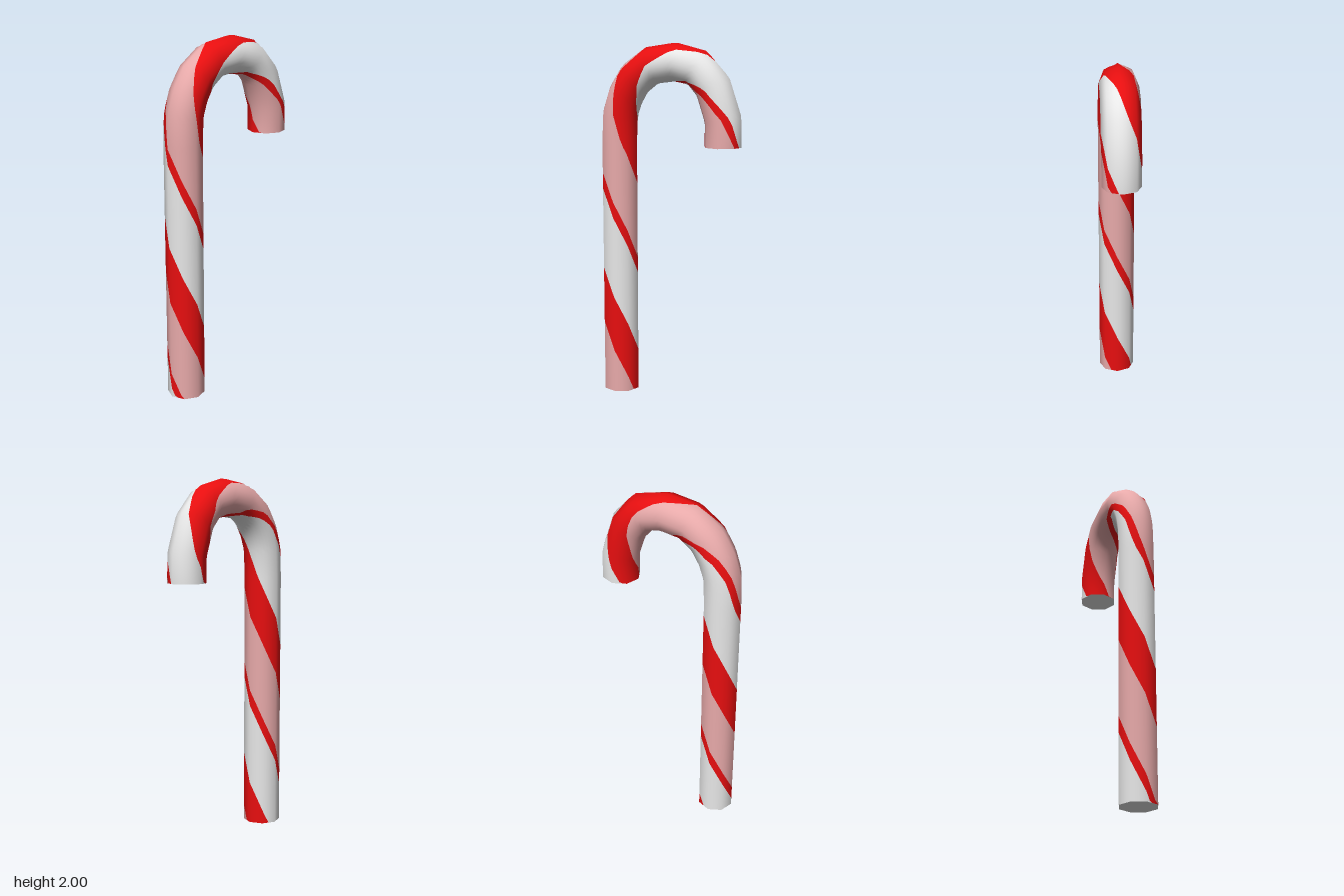
import * as THREE from 'three';

const RADIUS = 0.105, SIDES = 8, PITCH = 1.3, COLS = 32;

// Centre line of the cane: x, y and the distance used by the spiral
const PATH = [
  [-0.305, 0, 0], [-0.305, 1.45, 1.45], [-0.298, 1.61, 1.55], [-0.265, 1.71, 1.636],
  [-0.21, 1.8, 1.74], [-0.11, 1.875, 1.866], [0.03, 1.895, 2.006], [0.155, 1.865, 2.136],
  [0.245, 1.765, 2.27], [0.303, 1.59, 2.455], [0.305, 1.44, 2.605],
];
const END = PATH[PATH.length - 1][2];

// One octagonal ring per path point, turned along the path
const rings = PATH.map(([x, y, v], i) => {
  const a = PATH[Math.max(i - 1, 0)], b = PATH[Math.min(i + 1, PATH.length - 1)];
  const t = new THREE.Vector2(b[0] - a[0], b[1] - a[1]).normalize();
  if (i === PATH.length - 1) t.set(0, -1);
  if (i === 1) t.set(0, 1);
  return { v, centre: new THREE.Vector3(x, y, 0), outer: new THREE.Vector3(-t.y, t.x, 0) };
});

function ringPoint(ring, turn) {
  const dir = (k) => {
    const a = (k / SIDES) * Math.PI * 2;
    return ring.outer.clone().multiplyScalar(Math.cos(a)).add(new THREE.Vector3(0, 0, Math.sin(a)));
  };
  const f = turn * SIDES, k = Math.floor(f);
  const d = dir(k).lerp(dir(k + 1), f - k);
  return { pos: d.clone().multiplyScalar(RADIUS).add(ring.centre), normal: d };
}

// Point on the faceted tube at distance v and fraction of a turn
function surface(v, turn) {
  let i = 0;
  while (i < rings.length - 2 && v > rings[i + 1].v) i++;
  const f = (v - rings[i].v) / (rings[i + 1].v - rings[i].v);
  const a = ringPoint(rings[i], turn), b = ringPoint(rings[i + 1], turn);
  return { pos: a.pos.lerp(b.pos, f), normal: a.normal.lerp(b.normal, f).normalize() };
}

// Spiral bands between the given starts and ends, cut off at both ends of the cane
function stripeGeometry(bands) {
  const positions = [], normals = [];
  const corner = (u, j) => {
    const turn = j / COLS;
    return [THREE.MathUtils.clamp(u - PITCH * turn, 0, END), turn];
  };
  const triangle = (...corners) => {
    if (corners.every((c) => c[0] === corners[0][0])) return;
    for (const [v, turn] of corners) {
      const p = surface(v, turn);
      positions.push(...p.pos.toArray());
      normals.push(...p.normal.toArray());
    }
  };
  for (const [from, to] of bands) {
    const steps = Math.ceil((to - from) / 0.03);
    for (let k = -1; k <= 2; k++) {
      for (let s = 0; s < steps; s++) {
        const u0 = from + k * PITCH + ((to - from) * s) / steps;
        const u1 = from + k * PITCH + ((to - from) * (s + 1)) / steps;
        for (let j = 0; j < COLS; j++) {
          const a = corner(u0, j), b = corner(u0, j + 1), c = corner(u1, j + 1), d = corner(u1, j);
          triangle(a, b, c);
          triangle(a, c, d);
        }
      }
    }
  }
  const geometry = new THREE.BufferGeometry();
  geometry.setAttribute('position', new THREE.Float32BufferAttribute(positions, 3));
  geometry.setAttribute('normal', new THREE.Float32BufferAttribute(normals, 3));
  return geometry;
}

export function createModel() {
  const group = new THREE.Group();
  group.name = 'candyCane';
  const material = (name, color) => {
    const m = new THREE.MeshStandardMaterial({ color });
    m.name = name;
    return m;
  };
  const white = material('white', 0xf0f0f0);
  const red = material('red', 0xea0f10);
  const pink = material('pink', 0xf0b0b0);

  const add = (name, geometry, mat) => {
    const mesh = new THREE.Mesh(geometry, mat);
    mesh.name = name;
    group.add(mesh);
    return mesh;
  };

  // Spiral stripes
  add('whiteStripe', stripeGeometry([[0.89, 1.35]]), white);
  add('pinkStripe', stripeGeometry([[1.44, 1.87]]), pink);
  add('wideRedStripe', stripeGeometry([[0.57, 0.89]]), red);
  add('thinRedStripe', stripeGeometry([[1.35, 1.44]]), red);

  // Flat ends, both facing down
  for (const [name, ring] of [['baseEnd', rings[0]], ['hookEnd', rings[rings.length - 1]]]) {
    const cap = new THREE.CircleGeometry(RADIUS, SIDES).rotateX(Math.PI / 2);
    add(name, cap, white).position.copy(ring.centre);
  }
  return group;
}
